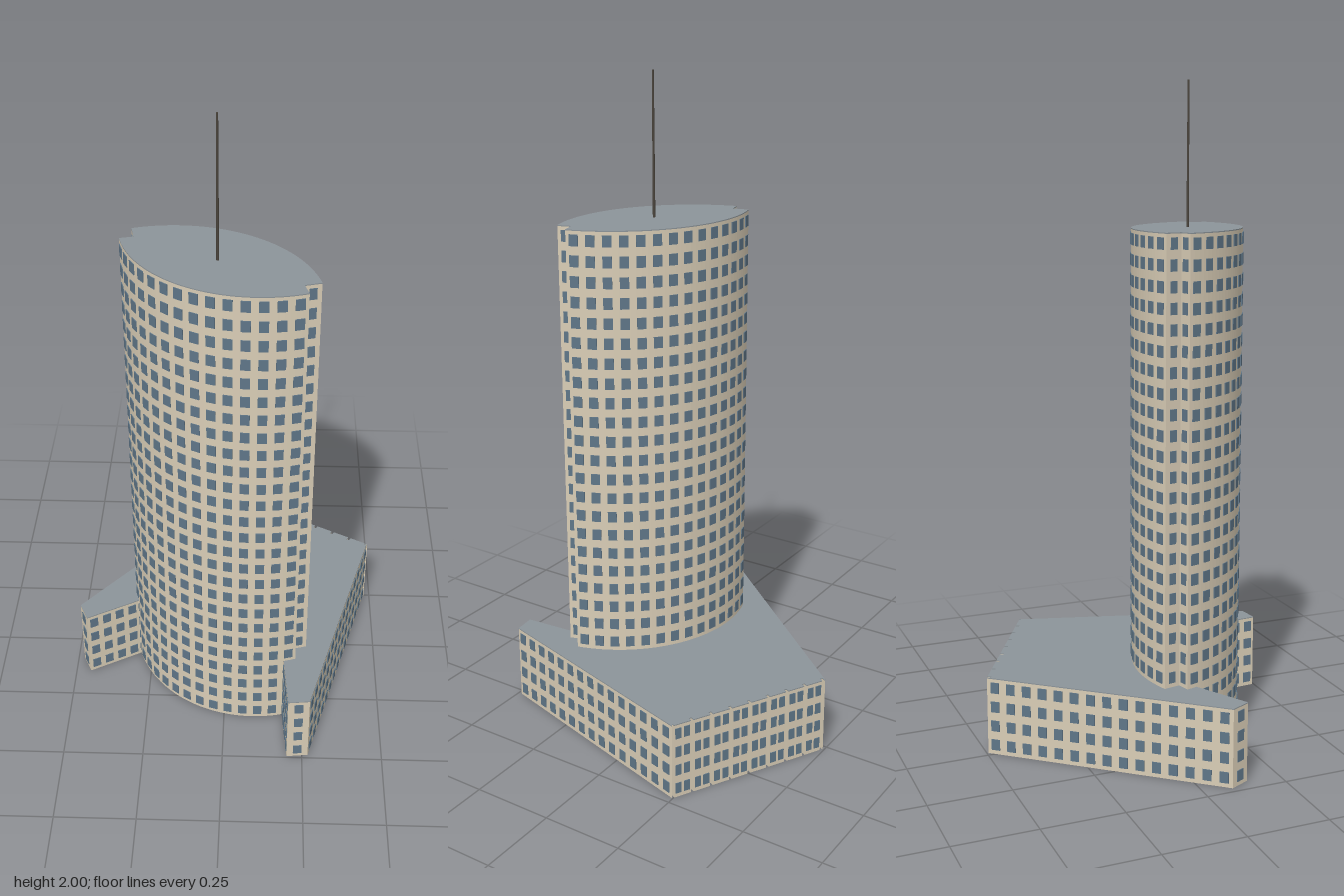
import * as THREE from 'three';
import { mergeGeometries } from 'three/addons/utils/BufferGeometryUtils.js';

const wall = new THREE.MeshStandardMaterial({ color: 0xd9cdb6 });
const roof = new THREE.MeshStandardMaterial({ color: 0x8c9499 });
const glass = new THREE.MeshStandardMaterial({ color: 0x5f7688 });
const metal = new THREE.MeshStandardMaterial({ color: 0x4a443c });

const FLOOR = 0.0606, TOWER_FLOORS = 26, PODIUM_FLOORS = 4;

function mesh(name, geometry, material) {
  const m = new THREE.Mesh(geometry, material);
  m.name = name;
  return m;
}

// Plan points are [x, z], listed clockwise as seen from above.
function arc(cx, cz, r, a0, a1, n) {
  return Array.from({ length: n + 1 }, (_, i) => {
    const a = a0 + (a1 - a0) * i / n;
    return [cx + r * Math.cos(a), cz + r * Math.sin(a)];
  });
}

function prism(plan, y0, y1) {
  const shape = new THREE.Shape(plan.map(([x, z]) => new THREE.Vector2(x, -z)));
  return new THREE.ExtrudeGeometry(shape, { depth: y1 - y0, bevelEnabled: false })
    .rotateX(-Math.PI / 2).translate(0, y0, 0);
}

// Walls with a thin roof slab on top
function block(name, plan, height) {
  const g = new THREE.Group();
  g.name = name;
  g.add(mesh(name + 'Walls', prism(plan, 0, height - 0.003), wall));
  g.add(mesh(name + 'Roof', prism(plan, height - 0.003, height), roof));
  return g;
}

// Window grid spread evenly along a wall path
function windows(path, columns, firstFloor, lastFloor, width = 0.027) {
  const curve = new THREE.CurvePath();
  for (let i = 1; i < path.length; i++) {
    curve.add(new THREE.LineCurve(new THREE.Vector2(...path[i - 1]), new THREE.Vector2(...path[i])));
  }
  const panes = [];
  for (let c = 0; c < columns; c++) {
    const u = (c + 0.5) / columns;
    const p = curve.getPointAt(u), d = curve.getTangentAt(u);
    for (let f = firstFloor; f < lastFloor; f++) {
      panes.push(new THREE.BoxGeometry(width, 0.034, 0.005)
        .rotateY(Math.atan2(d.y, -d.x))
        .translate(p.x, (f + 0.5) * FLOOR, p.y));
    }
  }
  return mergeGeometries(panes);
}

export function createModel() {
  const model = new THREE.Group();
  model.name = 'highRise';

  // Lens-shaped tower with a stepped notch at each tip
  const backArc = arc(-0.14, 0.356, 0.412, -1.892, -0.249, 40);
  const frontArc = arc(0.09, -0.067, 0.4, 1.227, 2.91, 40);
  const rightNotch = [0.212, 0.268], leftNotch = [-0.26, 0.015];
  const towerHeight = TOWER_FLOORS * FLOOR;
  const tower = block('tower', [...backArc, rightNotch, ...frontArc, leftNotch], towerHeight);
  tower.add(mesh('towerWindows', mergeGeometries([
    windows(backArc, 14, PODIUM_FLOORS, TOWER_FLOORS),
    windows(frontArc, 14, 0, TOWER_FLOORS),
    windows([backArc[40], rightNotch], 1, PODIUM_FLOORS, TOWER_FLOORS, 0.022),
    windows([rightNotch, frontArc[0]], 1, PODIUM_FLOORS, TOWER_FLOORS, 0.022),
    windows([frontArc[40], leftNotch], 1, PODIUM_FLOORS, TOWER_FLOORS, 0.022),
    windows([leftNotch, backArc[0]], 1, PODIUM_FLOORS, TOWER_FLOORS, 0.022),
  ]), glass));
  model.add(tower);

  // Podium wings, with grooves cut into the rear wall
  const A = [0.015, -0.495], B = [0.478, -0.248];
  const length = Math.hypot(B[0] - A[0], B[1] - A[1]);
  const dir = [(B[0] - A[0]) / length, (B[1] - A[1]) / length];
  const rear = (s, inset) => [A[0] + dir[0] * s - dir[1] * inset, A[1] + dir[1] * s + dir[0] * inset];
  const bay = length * 0.123, groove = 0.009;
  const rearWall = [A];
  for (let i = 0; i < 9; i++) {
    const s = i * bay + 0.002;
    rearWall.push(rear(s, 0), rear(s, 0.012), rear(s + groove, 0.012), rear(s + groove, 0));
  }
  rearWall.push(B);
  const rightTip = [0.268, 0.488], rightEnd = [0.202, 0.495], rightInner = [0.188, 0.315];
  const leftInner = [-0.293, 0.06], leftEnd = [-0.452, 0.147], leftTip = [-0.48, 0.088];
  const podium = block('podium', [...rearWall, rightTip, rightEnd, rightInner,
    [0.18, 0.27], [-0.25, 0.05], leftInner, leftEnd, leftTip], PODIUM_FLOORS * FLOOR);

  const panes = [
    windows([B, rightTip], 15, 0, PODIUM_FLOORS),
    windows([leftTip, A], 15, 0, PODIUM_FLOORS),
    windows([rightTip, rightEnd], 1, 0, PODIUM_FLOORS),
    windows([leftEnd, leftTip], 1, 0, PODIUM_FLOORS),
    windows([rightEnd, rightInner], 4, 0, PODIUM_FLOORS),
    windows([leftInner, leftEnd], 4, 0, PODIUM_FLOORS),
  ];
  for (let i = 0; i < 8; i++) {
    panes.push(windows([rear(i * bay + groove + 0.002, 0), rear((i + 1) * bay + 0.002, 0)], 2, 0, PODIUM_FLOORS, 0.019));
  }
  podium.add(mesh('podiumWindows', mergeGeometries(panes), glass));
  model.add(podium);

  // Rooftop mast
  const mast = mesh('mast', new THREE.CylinderGeometry(0.003, 0.004, 2 - towerHeight, 8), metal);
  mast.position.set(-0.021, (2 + towerHeight) / 2, 0.141);
  model.add(mast);

  return model;
}
